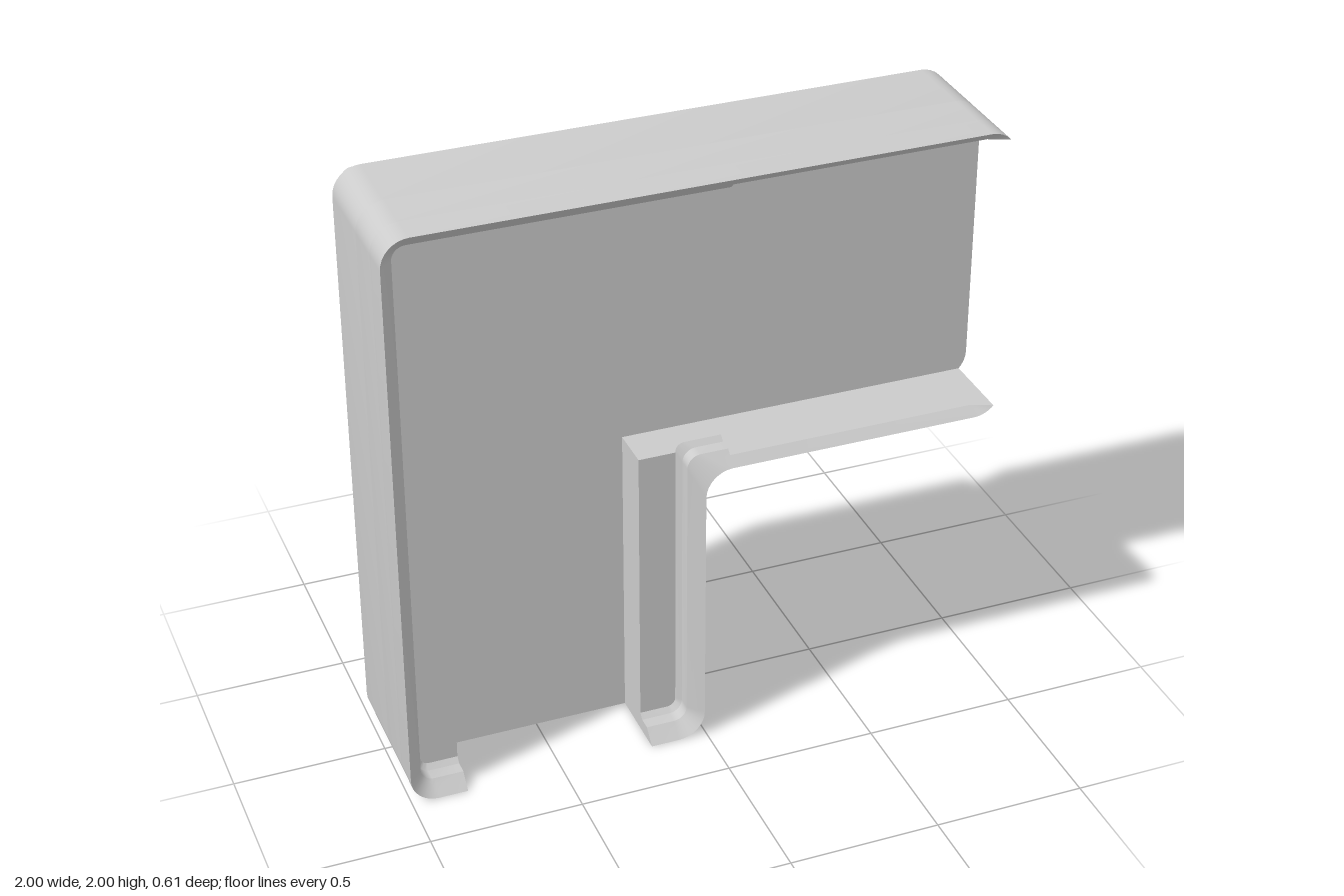
import * as THREE from 'three';
import { toCreasedNormals } from 'three/addons/utils/BufferGeometryUtils.js';

const R = 0.09;            // outer corner radius
const T = 0.03;            // thin wall
const A = -0.006;          // right edge of the lower leg
const B = 1.006;           // lower edge of the arm
const LEFT = -0.815, RIGHT = -0.19, STEP = A + R; // pocket sides, lip end
const FLOOR = 0.055, SHELF = 0.2, RIM = 0.305, UNDER = -0.191;

const material = new THREE.MeshStandardMaterial({ color: 0xcccccc });
const deg = THREE.MathUtils.radToDeg;

function arc(cx, cy, r, from, to, n = 8) {
  return Array.from({ length: n + 1 }, (_, i) => {
    const t = THREE.MathUtils.degToRad(from + ((to - from) * i) / n);
    return [cx + r * Math.cos(t), cy + r * Math.sin(t)];
  });
}

// Skins counter-clockwise outlines [z, points] stacked along z and closes both ends
function loft(name, layers) {
  const pos = [];
  const tri = (a, b, c) => {
    const area = new THREE.Triangle(...[a, b, c].map(p => new THREE.Vector3(...p))).getArea();
    if (area > 1e-9) pos.push(...a, ...b, ...c);
  };
  const rings = layers.map(([z, pts]) => pts.map(([x, y]) => [x, y, z]));
  for (let k = 0; k + 1 < rings.length; k++) {
    const lo = rings[k], hi = rings[k + 1], n = lo.length;
    for (let i = 0; i < n; i++) {
      const j = (i + 1) % n;
      tri(lo[i], lo[j], hi[j]);
      tri(lo[i], hi[j], hi[i]);
    }
  }
  const cap = (ring, up) => {
    const flat = ring.map(p => new THREE.Vector2(p[0], p[1]));
    if (Math.abs(THREE.ShapeUtils.area(flat)) < 1e-6) return;
    for (const [a, b, c] of THREE.ShapeUtils.triangulateShape(flat, [])) {
      if (up) tri(ring[a], ring[b], ring[c]);
      else tri(ring[a], ring[c], ring[b]);
    }
  };
  cap(rings[0], false);
  if (name !== 'upperLip' && name !== 'lowerLip') cap(rings[rings.length - 1], true); // lips end in an edge
  const geometry = new THREE.BufferGeometry();
  geometry.setAttribute('position', new THREE.Float32BufferAttribute(pos, 3));
  const mesh = new THREE.Mesh(toCreasedNormals(geometry, 0.5), material);
  mesh.name = name;
  return mesh;
}

// Angle at which a corner arc of radius r meets the thin wall's inner face
const hornAngle = r => deg(Math.asin(Math.min(1, (R - T) / r)));

// Outer edge of the left and top walls (clockwise)
const upperOuter = () => [
  [LEFT, 0],
  ...arc(-1 + R, R, R, 270, 180),
  ...arc(-1 + R, 2 - R, R, 180, 90),
  ...arc(1 - R, 2 - R, R, 90, hornAngle(R)),
];

// Outer edge of the leg's right wall and the arm's lower wall
const lowerOuter = () => [
  [RIGHT, 0],
  ...arc(A - R, R, R, -90, 0),
  ...arc(A + R, B - R, R, 180, 90),
  ...arc(1 - R, B + R, R, -90, -hornAngle(R)),
];

// Lip sections reaching inward by d
function upperLip(d) {
  const r = Math.max(R - T, R - d);
  return [
    ...upperOuter(),
    ...arc(1 - R, 2 - R, r, hornAngle(r), 90),
    [STEP, 2 - Math.min(d, T)], [STEP, 2 - d],
    ...arc(-1 + R, 2 - R, R - d, 90, 180),
    ...arc(-1 + R, R, R - d, 180, 270),
    [LEFT, d],
  ].reverse();
}

function lowerLip(d) {
  const r = Math.max(R - T, R - d), q = R - d;
  return [
    ...lowerOuter(),
    ...arc(1 - R, B + R, r, -hornAngle(r), -90),
    [STEP, B + Math.min(d, T)], [STEP, B + d],
    ...arc(A - d + q, B + d - q, q, 90, 180),
    ...arc(A - R, R, q, 0, -90),
    [RIGHT, d],
  ];
}

function roundedSquare(cx, cy, half, r) {
  const h = half - r;
  return [
    ...arc(cx + h, cy - h, r, -90, 0),
    ...arc(cx + h, cy + h, r, 0, 90),
    ...arc(cx - h, cy + h, r, 90, 180),
    ...arc(cx - h, cy - h, r, 180, 270),
  ];
}

export function createModel() {
  const group = new THREE.Group();
  group.name = 'cornerTray';

  // L-shaped floor slab
  const outline = [
    ...arc(-1 + R, R, R, 180, 270),
    ...arc(A - R, R, R, -90, 0),
    ...arc(A + R, B - R, R, 180, 90),
    ...arc(1 - R, B + R, R, -90, 0),
    ...arc(1 - R, 2 - R, R, 0, 90),
    ...arc(-1 + R, 2 - R, R, 90, 180),
  ];
  group.add(loft('floorSlab', [[UNDER, outline], [FLOOR, outline]]));

  // Walls beside the open-ended pocket
  const upper = [...upperOuter(), [LEFT, 2 - T]].reverse();
  const lower = [...lowerOuter(), [RIGHT, B + T]];
  group.add(loft('upperWall', [[FLOOR, upper], [SHELF, upper]]));
  group.add(loft('lowerWall', [[FLOOR, lower], [SHELF, lower]]));

  // Stacking lip: chamfer, straight, chamfer up to a sharp rim
  const steps = [[SHELF, 0.062], [0.217, 0.0455], [0.26, 0.0455], [RIM - T, T], [RIM, 0]];
  group.add(loft('upperLip', steps.map(([z, d]) => [z, upperLip(d)])));
  group.add(loft('lowerLip', steps.map(([z, d]) => [z, lowerLip(d)])));

  // Stepped foot under each cell
  const foot = [[-RIM, 0.071], [-0.286, 0.0515], [-0.243, 0.0515], [UNDER, 0]];
  for (const [x, y] of [[-0.503, 0.497], [-0.503, 1.503], [0.503, 1.503]]) {
    group.add(loft('foot', foot.map(([z, d]) => [z, roundedSquare(x, y, 0.497 - d, R - d)])));
  }
  return group;
}
